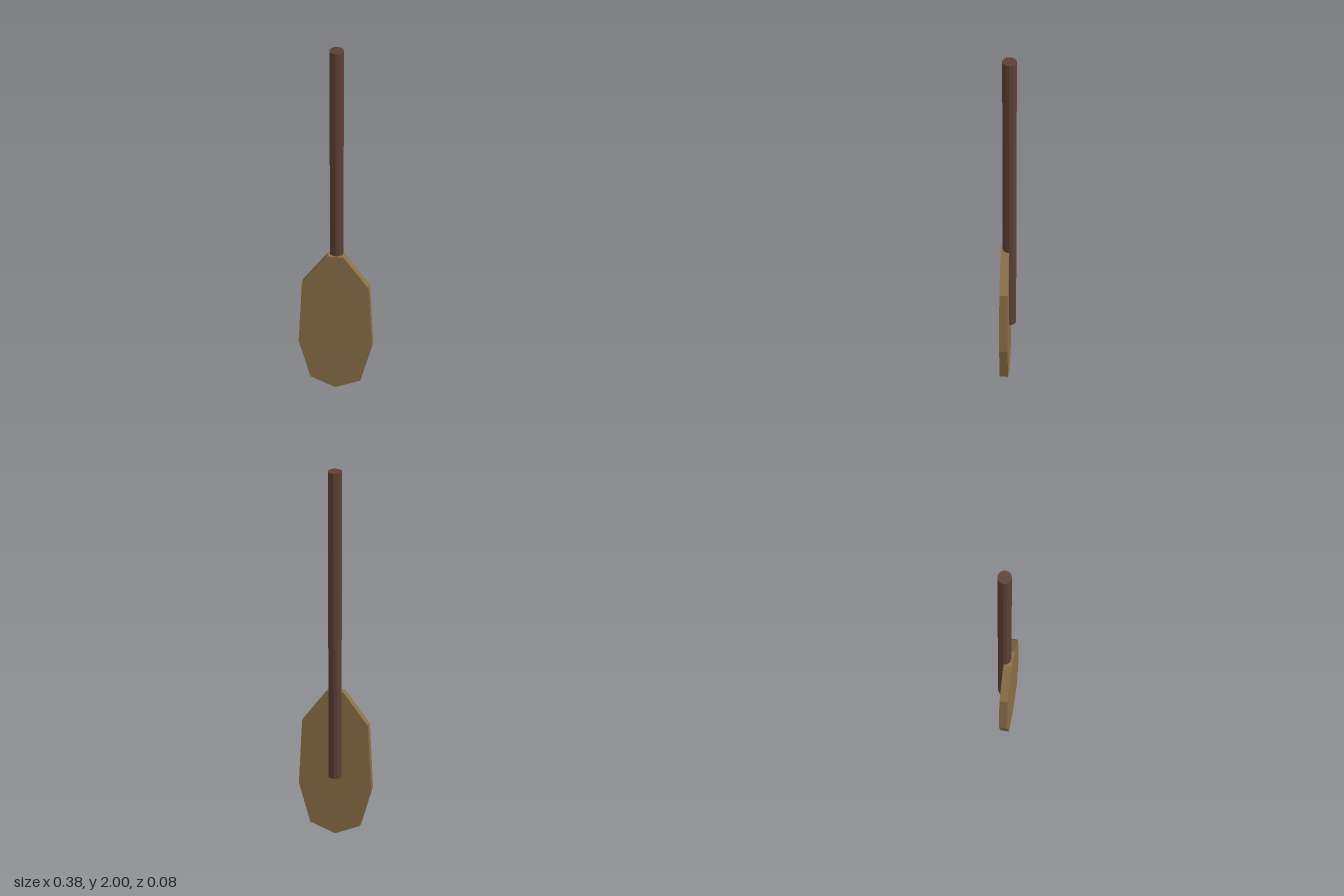
import * as THREE from 'three';

export function createModel() {
  const paddle = new THREE.Group();
  paddle.name = 'paddle';

  const darkWood = new THREE.MeshStandardMaterial({ name: 'darkWood', color: 0x5d4037, flatShading: true });
  const lightWood = new THREE.MeshStandardMaterial({ name: 'lightWood', color: 0x8b6f47, flatShading: true });

  // Shaft: long, slightly tapered pole running down the back of the blade
  const bottom = 0.317, top = 2, backZ = -0.003;
  const shaft = new THREE.Mesh(new THREE.CylinderGeometry(0.038, 0.034, top - bottom, 12), darkWood);
  shaft.name = 'shaft';
  shaft.position.set(0, (top + bottom) / 2, backZ);
  paddle.add(shaft);

  // Blade: flat mirrored outline, extruded forward from the shaft's axis
  const half = [[0.13, 0.056], [0.191, 0.264], [0.174, 0.612], [0.043, 0.785]];
  const mirrored = half.map(([x, y]) => [-x, y]).reverse();
  const outline = [[0, 0.004], ...half, ...mirrored].map(([x, y]) => new THREE.Vector2(x, y));
  const blade = new THREE.Mesh(
    new THREE.ExtrudeGeometry(new THREE.Shape(outline), { depth: 0.043, bevelEnabled: false }),
    lightWood
  );
  blade.name = 'blade';
  blade.position.z = backZ;
  paddle.add(blade);

  return paddle;
}
